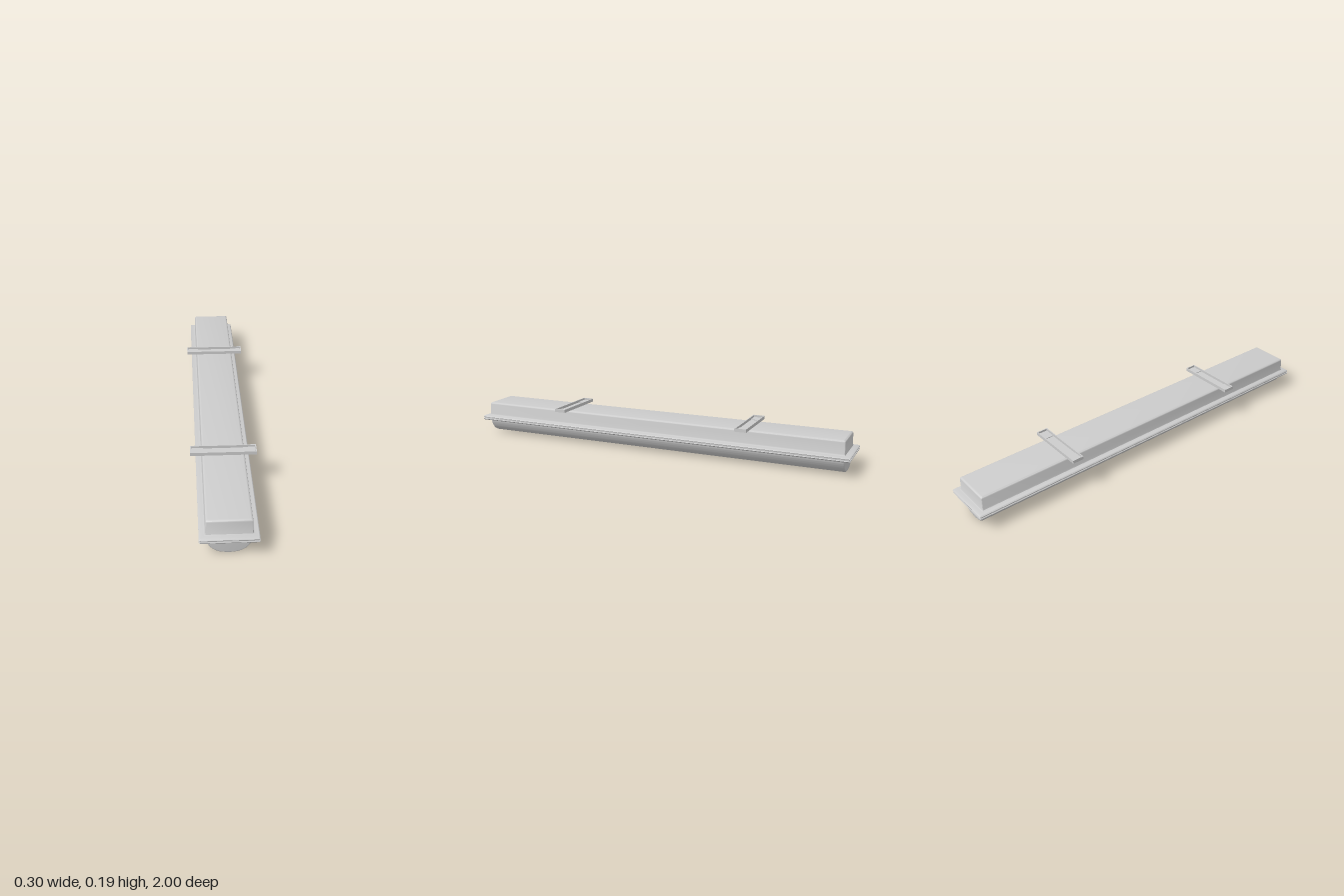
import * as THREE from 'three';
import { toCreasedNormals } from 'three/addons/utils/BufferGeometryUtils.js';

const material = new THREE.MeshStandardMaterial({ color: 0xcccccc });

function mesh(name, geometry) {
  const m = new THREE.Mesh(geometry, material);
  m.name = name;
  return m;
}

// Rounded-rectangle rings [halfX, halfZ, y], listed bottom to top, skinned and capped.
function loft(rings, radius = 0.004, steps = 3) {
  const pos = [], idx = [], n = 4 * (steps + 1);
  for (const [hx, hz, y] of rings) {
    for (let c = 0; c < 4; c++) {
      const sx = c === 0 || c === 3 ? 1 : -1, sz = c < 2 ? 1 : -1;
      for (let s = 0; s <= steps; s++) {
        const a = (c + s / steps) * Math.PI / 2;
        pos.push(sx * (hx - radius) + radius * Math.cos(a), y, sz * (hz - radius) + radius * Math.sin(a));
      }
    }
  }
  for (let r = 0; r < rings.length - 1; r++) {
    for (let i = 0; i < n; i++) {
      const a = r * n + i, b = r * n + (i + 1) % n;
      idx.push(a, a + n, b, b, a + n, b + n);
    }
  }
  const top = (rings.length - 1) * n;
  for (let i = 1; i < n - 1; i++) {
    idx.push(0, i, i + 1);
    idx.push(top, top + i + 1, top + i);
  }
  const g = new THREE.BufferGeometry();
  g.setAttribute('position', new THREE.Float32BufferAttribute(pos, 3));
  g.setIndex(idx);
  return toCreasedNormals(g, 0.7);
}

// Half-oval lens, extruded along z with softened ends
function diffuserGeometry() {
  const half = [[0.098, 0.074], [0.095, 0.06], [0.086, 0.042], [0.075, 0.027], [0.06, 0.015],
    [0.042, 0.006], [0.022, 0.002], [0, 0]];
  const left = half.map(([x, y]) => new THREE.Vector2(-x, y));
  const right = half.slice(0, -1).reverse().map(([x, y]) => new THREE.Vector2(x, y));
  const curve = new THREE.SplineCurve([...left, ...right]);
  const shape = new THREE.Shape([...curve.getPoints(48), new THREE.Vector2(0.098, 0.082), new THREE.Vector2(-0.098, 0.082)]);
  const bevel = 0.006, length = 1.94;
  const g = new THREE.ExtrudeGeometry(shape, {
    depth: length - 2 * bevel, bevelEnabled: true, bevelThickness: bevel,
    bevelSize: bevel, bevelOffset: -bevel, bevelSegments: 3,
  });
  g.translate(0, 0, -length / 2 + bevel);
  return toCreasedNormals(g, 0.6);
}

// Shallow open tray with a recessed middle
function bracket(name, z) {
  const group = new THREE.Group();
  group.name = name;
  const length = 0.302, width = 0.058, height = 0.016, wall = 0.005;
  const add = (part, w, h, d, x, y, zz) => {
    const m = mesh(part, new THREE.BoxGeometry(w, h, d));
    m.position.set(x, y + h / 2, zz);
    group.add(m);
  };
  add('bracketFloor', length, 0.003, width, 0, 0, 0);
  for (const s of [-1, 1]) {
    add('bracketSideWall', length, height, wall, 0, 0, s * (width - wall) / 2);
    add('bracketEndWall', wall, height, width - 2 * wall, s * (length - wall) / 2, 0, 0);
    add('bracketEndPad', 0.056, 0.006, width - 2 * wall, s * 0.118, 0, 0);
  }
  group.position.set(0, 0.17, z);
  return group;
}

export function createModel() {
  const model = new THREE.Group();
  model.name = 'linearLamp';

  model.add(mesh('diffuser', diffuserGeometry()));

  // Lower rim, with a small flare above the lens
  model.add(mesh('diffuserRim', loft([
    [0.099, 0.971, 0.071], [0.104, 0.976, 0.0745], [0.119, 0.994, 0.0745],
    [0.123, 0.998, 0.0765], [0.125, 1, 0.08], [0.124, 0.999, 0.083],
  ])));
  model.add(mesh('gasket', loft([[0.121, 0.996, 0.082], [0.121, 0.996, 0.091]])));

  // Upper body: rim, fillet, tall walls and rounded top edge
  model.add(mesh('housing', loft([
    [0.124, 0.999, 0.0895], [0.125, 1, 0.092], [0.123, 0.998, 0.096], [0.119, 0.994, 0.0985],
    [0.106, 0.978, 0.0985], [0.1, 0.972, 0.101], [0.098, 0.97, 0.106],
    [0.097, 0.969, 0.16], [0.0955, 0.9675, 0.165], [0.092, 0.964, 0.1685], [0.087, 0.959, 0.17],
  ])));

  for (const [name, z] of [['frontBracket', 0.49], ['rearBracket', -0.49]]) model.add(bracket(name, z));
  return model;
}
